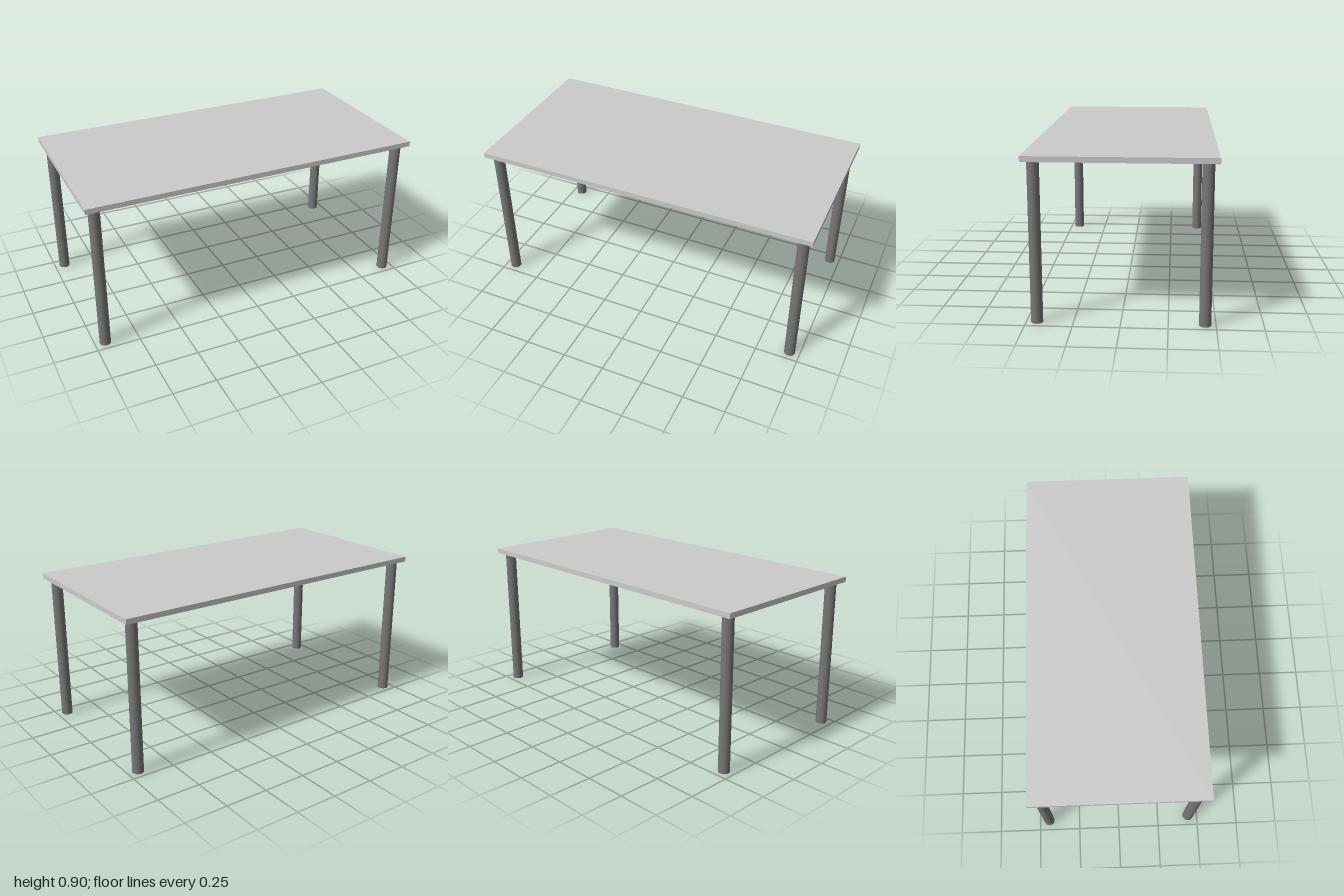
import * as THREE from 'three';

export function createModel() {
  const model = new THREE.Group();
  model.name = 'table';

  const height = 0.9, thickness = 0.03;
  const legHeight = height - thickness, legRadius = 0.032;

  // Flat rectangular top
  const top = new THREE.Mesh(
    new THREE.BoxGeometry(2, thickness, 1),
    new THREE.MeshStandardMaterial({ color: 0xcccccc })
  );
  top.name = 'tableTop';
  top.position.y = height - thickness / 2;
  model.add(top);

  // Four round legs, one set in from each corner
  const legGeometry = new THREE.CylinderGeometry(legRadius, legRadius, legHeight, 32);
  const legMaterial = new THREE.MeshStandardMaterial({ color: 0x777777 });
  for (const [sx, side] of [[1, 'Left'], [-1, 'Right']]) {
    for (const [sz, end] of [[1, 'front'], [-1, 'back']]) {
      const leg = new THREE.Mesh(legGeometry, legMaterial);
      leg.name = `${end}${side}Leg`;
      leg.position.set(sx * 0.94, legHeight / 2, sz * 0.443);
      model.add(leg);
    }
  }

  return model;
}
